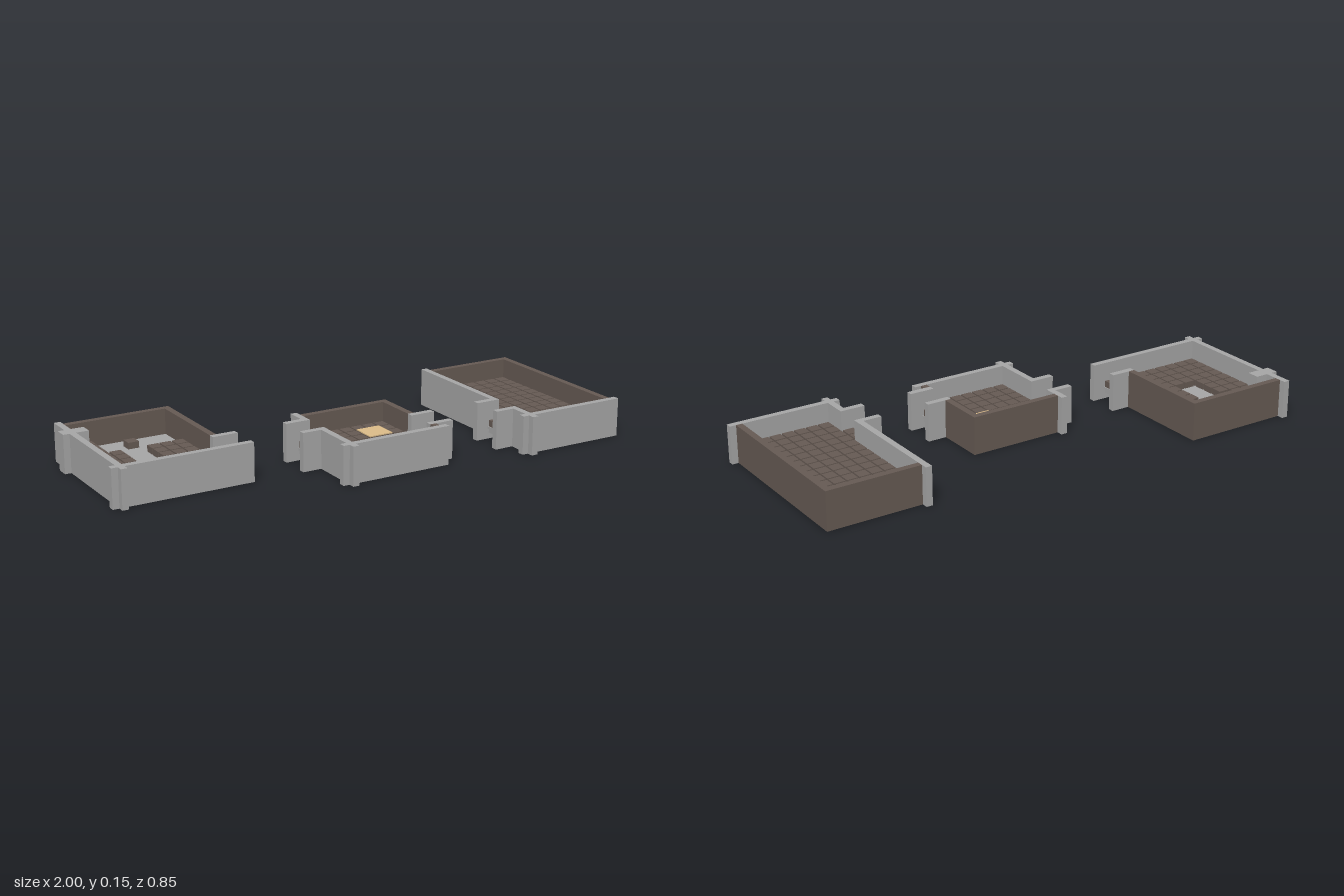
import * as THREE from 'three';

const stone = new THREE.MeshStandardMaterial({ color: 0xa8a8a8 });
stone.name = 'greyStone';
const brown = new THREE.MeshStandardMaterial({ color: 0x675b54 });
brown.name = 'brownStone';
const tan = new THREE.MeshStandardMaterial({ color: 0xdfbf8b });
tan.name = 'tanPanel';

const H = 0.15;    // wall height
const CELL = 0.05; // floor grid
const GAP = 0.00325; // half the joint between tiles
const BASE = 0.025, PLATE = 0.04, SLAB = 0.05, TOP = 0.075; // floor levels

// Box given by its limits
function box(parent, name, mat, x0, x1, z0, z1, y0 = 0, y1 = H) {
  const m = new THREE.Mesh(new THREE.BoxGeometry(x1 - x0, y1 - y0, z1 - z0), mat);
  m.position.set((x0 + x1) / 2, (y0 + y1) / 2, (z0 + z1) / 2);
  m.name = name;
  parent.add(m);
}

// Grey plate with brown tiles above and grey blocks below; bare(x, z) leaves cells empty
function floor(parent, x0, x1, z0, z1, bare = () => false) {
  const g = new THREE.Group();
  g.name = 'tiledFloor';
  box(g, 'floorPlate', stone, x0, x1, z0, z1, PLATE, SLAB);
  const nx = Math.round((x1 - x0) / CELL), nz = Math.round((z1 - z0) / CELL);
  for (let i = 0; i < nx; i++) for (let k = 0; k < nz; k++) {
    const x = x0 + i * CELL, z = z0 + k * CELL;
    if (bare(x + CELL / 2, z + CELL / 2)) continue;
    const limits = [x + GAP, x + CELL - GAP, z + GAP, z + CELL - GAP];
    box(g, 'floorBlock', stone, ...limits, BASE, PLATE);
    box(g, 'floorTile', brown, ...limits, SLAB, TOP);
  }
  parent.add(g);
}

function room(root, name) {
  const g = new THREE.Group();
  g.name = name;
  root.add(g);
  return g;
}

export function createModel() {
  const root = new THREE.Group();
  root.name = 'dungeonRooms';

  // Room with a bare patch of floor
  const a = room(root, 'bareFloorRoom');
  box(a, 'leftWall', stone, -0.975, -0.95, -0.425, 0.175);
  box(a, 'frontWall', stone, -1, -0.45, 0.125, 0.15);
  box(a, 'backWall', brown, -0.95, -0.525, -0.4, -0.375);
  box(a, 'rightWall', brown, -0.55, -0.525, -0.375, 0);
  box(a, 'doorJamb', stone, -0.55, -0.45, 0, 0.025);
  box(a, 'wallPillar', stone, -1, -0.9, -0.325, -0.275);
  const bare = (x, z) => {
    const head = x > -0.85 && z < -0.225;
    const stem = x > -0.8 && x < -0.7 && z < -0.075;
    const island = Math.abs(x + 0.725) < 0.01 && Math.abs(z + 0.3) < 0.01;
    return (head || stem) && !island;
  };
  floor(a, -0.95, -0.55, -0.375, 0.125, bare);
  floor(a, -0.55, -0.5, 0.025, 0.125);

  // Small room with two doorways
  const b = room(root, 'smallRoom');
  box(b, 'leftWall', stone, -0.175, -0.15, -0.075, 0.025);
  box(b, 'leftWall', stone, -0.175, -0.15, 0.125, 0.375);
  box(b, 'frontWall', stone, -0.2, 0.25, 0.325, 0.35);
  box(b, 'backWall', brown, -0.15, 0.225, -0.05, -0.025);
  box(b, 'rightWall', brown, 0.2, 0.225, -0.025, 0.15);
  box(b, 'rightWall', brown, 0.2, 0.225, 0.3, 0.325);
  for (const z of [0, 0.125]) box(b, 'leftDoorJamb', stone, -0.25, -0.175, z, z + 0.025);
  for (const z of [0.15, 0.275]) box(b, 'rightDoorJamb', stone, 0.2, 0.3, z, z + 0.025);
  floor(b, -0.15, 0.2, -0.025, 0.325);
  floor(b, -0.2, -0.15, 0.025, 0.125);
  floor(b, 0.2, 0.25, 0.175, 0.275);
  box(b, 'trapdoor', tan, 0.0515, 0.1485, 0.0265, 0.1235, TOP, TOP + 0.004);

  // Long room with one doorway
  const c = room(root, 'longRoom');
  box(c, 'leftWall', stone, 0.575, 0.6, -0.325, 0.175);
  box(c, 'leftWall', stone, 0.575, 0.6, 0.275, 0.425);
  box(c, 'frontWall', stone, 0.55, 1, 0.375, 0.4);
  box(c, 'backWall', brown, 0.6, 0.975, -0.3, -0.275);
  box(c, 'rightWall', brown, 0.95, 0.975, -0.275, 0.375);
  for (const z of [0.15, 0.275]) box(c, 'doorJamb', stone, 0.5, 0.575, z, z + 0.025);
  floor(c, 0.6, 0.95, -0.275, 0.375);
  floor(c, 0.55, 0.6, 0.175, 0.275);

  return root;
}
